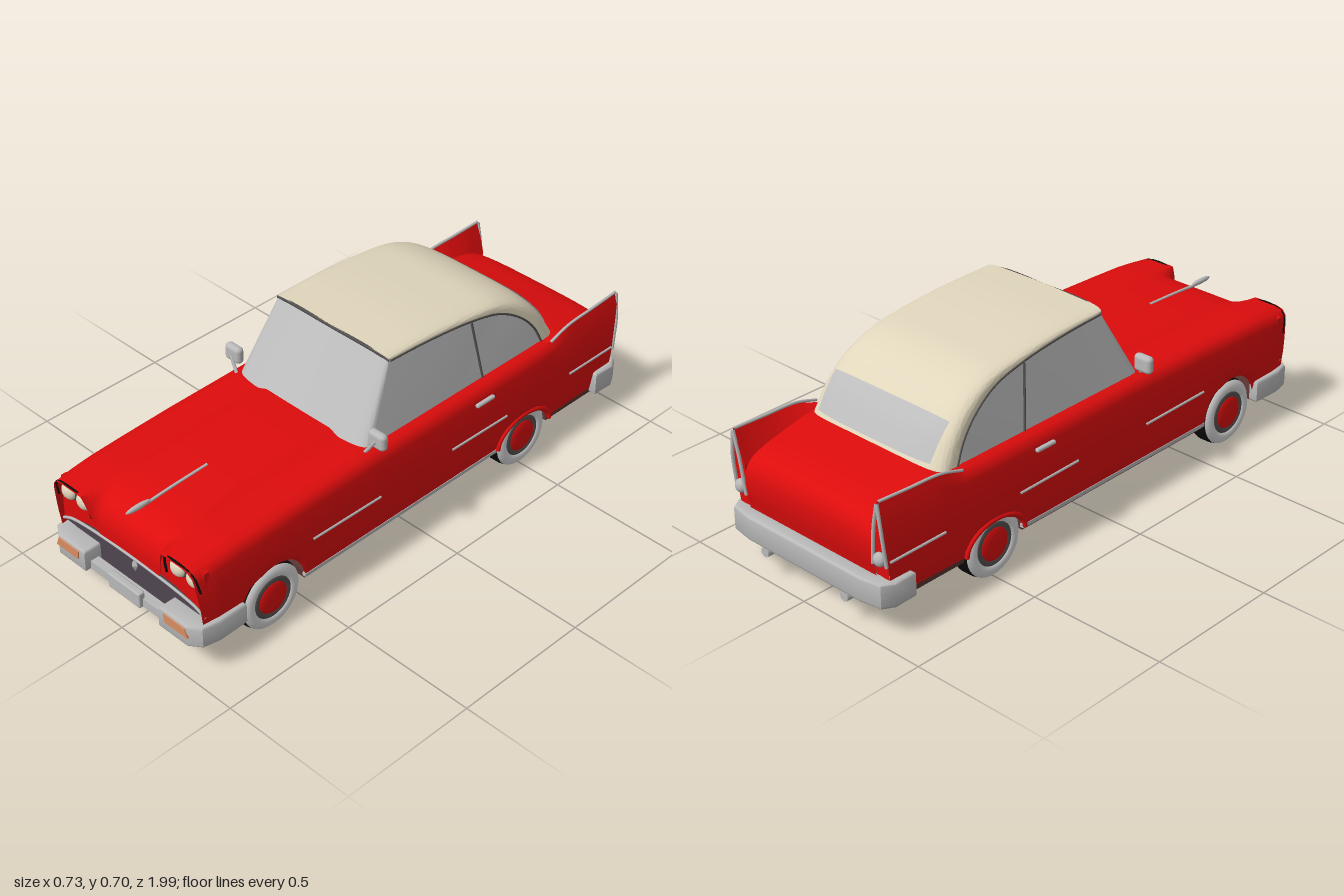
import * as THREE from 'three';
import { toCreasedNormals } from 'three/addons/utils/BufferGeometryUtils.js';
import { ParametricGeometry } from 'three/addons/geometries/ParametricGeometry.js';
import { RoundedBoxGeometry } from 'three/addons/geometries/RoundedBoxGeometry.js';

const mat = (name, color, double) => {
  const m = new THREE.MeshStandardMaterial({ color, side: double ? THREE.DoubleSide : THREE.FrontSide });
  m.name = name;
  return m;
};
const { lerp, smoothstep, clamp } = THREE.MathUtils;
const V = (x, y, z) => new THREE.Vector3(x, y, z);
const curve = (pts) => new THREE.CatmullRomCurve3(pts.map((p) => V(...p)), false, 'centripetal');

// piecewise linear lookup in [z, value] pairs sorted by z
const table = (pts) => (z) => {
  let i = 0;
  while (i < pts.length - 2 && z > pts[i + 1][0]) i++;
  const [a, b] = [pts[i], pts[i + 1]];
  return lerp(a[1], b[1], clamp((z - a[0]) / (b[0] - a[0]), 0, 1));
};
const halfWidth = table([[-0.975, 0.337], [-0.5, 0.345], [0.7, 0.345], [0.9, 0.342], [0.975, 0.335]]);
const topLine = table([[-0.975, 0.475], [-0.72, 0.462], [-0.63, 0.437], [-0.55, 0.435], [0.2, 0.435], [0.5, 0.43], [0.82, 0.418], [0.975, 0.402]]);
const deckLine = table([[-0.975, 0.355], [-0.945, 0.365], [-0.9, 0.388], [-0.8, 0.412], [-0.7, 0.43], [-0.6, 0.435]]);
const deckEdge = (z) => (z < -0.6 ? deckLine(z) : topLine(z));

// the ends of the body lean inwards towards the bottom
const leanZ = (z, y) => {
  const f = 0.72 + 0.28 * clamp((y - 0.13) / 0.27, 0, 1);
  return Math.abs(z) < 0.85 ? z : Math.sign(z) * (0.85 + (Math.abs(z) - 0.85) * f);
};
// lower edge of the flank, with both wheel arches
const lowerEdge = (z) => {
  const f = (z - 0.66) / 0.135, r = (z + 0.5) / 0.125;
  if (Math.abs(f) < 1) return Math.max(0.13, 0.12 + 0.135 * Math.sqrt(1 - f * f));
  if (Math.abs(r) < 1) return Math.max(0.13, 0.12 + 0.082 * Math.sqrt(1 - r * r));
  return 0.13;
};

function sheet(fn, nu, nv, crease = 0.6) {
  const g = new ParametricGeometry((u, v, t) => t.set(...fn(u, v)), nu, nv);
  g.computeVertexNormals();
  return toCreasedNormals(g, crease);
}
function mirrored(geo) {
  const g = geo.clone();
  if (!g.index) g.setIndex([...Array(g.attributes.position.count).keys()]);
  g.scale(-1, 1, 1);
  const a = g.index.array;
  for (let i = 0; i < a.length; i += 3) [a[i], a[i + 1]] = [a[i + 1], a[i]];
  return g;
}
const tube = (pts, r, n = 24) => new THREE.TubeGeometry(curve(pts), n, r, 8);
const box = (x0, x1, y0, y1, z0, z1) => new THREE.BoxGeometry(x1 - x0, y1 - y0, z1 - z0)
  .translate((x0 + x1) / 2, (y0 + y1) / 2, (z0 + z1) / 2);
const shape = (pts) => new THREE.Shape(pts.map((p) => new THREE.Vector2(...p)));
const plate = (pts, z, depth) => new THREE.ExtrudeGeometry(shape(pts), { depth, bevelEnabled: false }).translate(0, 0, z);
// outline in plan [x, z], raised from y0 to y1 with softened edges
const slab = (pts, y0, y1, b = 0.01) => toCreasedNormals(new THREE.ExtrudeGeometry(shape(pts.map(([x, z]) => [x, -z])), {
  depth: y1 - y0 - 2 * b, bevelSize: b, bevelThickness: b, bevelSegments: 3,
}).rotateX(-Math.PI / 2).translate(0, y0 + b, 0), 0.7);
const ball = (rx, ry, rz, x, y, z) => new THREE.SphereGeometry(1, 24, 16).scale(rx, ry, rz).translate(x, y, z);

export function createModel() {
  const car = new THREE.Group();
  car.name = 'car';
  const red = mat('red paint', 0xdd0c0c, true), cream = mat('cream', 0xe0d6bc, true);
  const glass = mat('window glass', 0xbdbdbd, true), chrome = mat('chrome', 0xb8b8b8);
  const rubber = mat('black rubber', 0x0c0c0c), white = mat('whitewall', 0xd8d8d8);
  const dark = mat('grille dark', 0x50444f), amber = mat('amber lens', 0xd98c62);
  const under = mat('underbody brown', 0x5a3431), grey = mat('dark grey', 0x555050);
  const add = (name, geo, m, parent = car) => {
    const mesh = new THREE.Mesh(geo, m);
    mesh.name = name;
    parent.add(mesh);
    return mesh;
  };
  const pair = (name, geo, m) => {
    add(name + 'Left', geo, m);
    add(name + 'Right', mirrored(geo), m);
  };

  // flanks, rising into pointed fins at the back
  pair('flank', sheet((u, v) => {
    const z = lerp(0.975, -0.975, u), w = halfWidth(z), t = topLine(z), yb = lowerEdge(z);
    const k = 1 - smoothstep(z, -0.74, -0.6);
    const y1 = Math.max(0.25, yb + 0.006);
    const p = [[w - 0.012, yb], [w - 0.002, (yb + y1) / 2], [w, y1], [w - 0.002, 0.3], [w - 0.007, t - 0.045],
      [w - lerp(0.012, 0.014, k), t - 0.022], [w - lerp(0.028, 0.018, k), lerp(t - 0.006, t, k)], [w - 0.055, deckEdge(z)]];
    const [x, y] = p[Math.round(v * 7)];
    return [x, y, leanZ(z, y)];
  }, 200, 7, 0.7), red);

  // hood: the middle rolls down to the grille, the fenders run on as headlight hoods
  const hoodMid = curve([[0, 0.445, -0.62], [0, 0.446, 0.2], [0, 0.441, 0.5], [0, 0.433, 0.7], [0, 0.422, 0.82], [0, 0.402, 0.89], [0, 0.37, 0.927], [0, 0.325, 0.945], [0, 0.268, 0.948]]);
  const fenderZ = [-0.62, 0.2, 0.5, 0.7, 0.82, 0.89, 0.94, 0.962, 0.975];
  add('hood', sheet((u, v) => {
    const c = hoodMid.getPoint(u), i = Math.min(7, Math.floor(u * 8));
    const z = lerp(fenderZ[i], fenderZ[i + 1], u * 8 - i);
    const x = (2 * v - 1) * (halfWidth(z) - 0.055);
    const w = smoothstep(Math.abs(x), 0.14, 0.19);
    return [x, lerp(c.y, topLine(z), w), lerp(c.z, z, w)];
  }, 48, 48, 0.8), red);

  // trunk lid rolling into the tail panel
  const trunkPath = curve([[0, 0.435, -0.6], [0, 0.43, -0.7], [0, 0.412, -0.8], [0, 0.388, -0.9], [0, 0.365, -0.945], [0, 0.33, -0.965], [0, 0.27, -0.968], [0, 0.2, -0.955], [0, 0.12, -0.945]]);
  add('trunk', sheet((u, v) => {
    const p = trunkPath.getPoint(u), s = 2 * v - 1;
    return [s * (halfWidth(p.z) - 0.053), p.y + 0.014 * (1 - s ** 4) * smoothstep(p.y, 0.2, 0.4), p.z];
  }, 40, 20), red);

  // front panel above the grille, grille and its trim
  const grilleTop = [[-0.335, 0.215], [-0.29, 0.238], [-0.2, 0.256], [-0.1, 0.265], [0, 0.268], [0.1, 0.265], [0.2, 0.256], [0.29, 0.238], [0.335, 0.215]];
  add('frontPanel', plate([...grilleTop, [0.333, 0.385], [0.3, 0.403], [0.18, 0.403], [0.14, 0.31], [-0.14, 0.31], [-0.18, 0.403], [-0.3, 0.403], [-0.333, 0.385]], 0.915, 0.02), red);
  add('grille', plate([[-0.33, 0.11], [0.33, 0.11], ...[...grilleTop].reverse()], 0.9, 0.025), dark);
  add('grilleTrim', tube(grilleTop.map(([x, y]) => [x, y, 0.95 - 0.1 * x * x]), 0.005, 40), chrome);
  add('grilleEmblem', new THREE.OctahedronGeometry(1).scale(0.013, 0.027, 0.012).translate(0, 0.217, 0.93), chrome);

  // twin headlights under a dark brow
  for (const x of [0.22, 0.293]) {
    pair('headlight', ball(0.031, 0.031, 0.022, x, 0.346, 0.937), cream);
    pair('headlightRim', new THREE.TorusGeometry(0.031, 0.003, 8, 28).translate(x, 0.346, 0.937), grey);
  }
  pair('headlightBrow', tube([[0.176, 0.31, 0.948], [0.182, 0.37, 0.958], [0.205, 0.398, 0.966], [0.3, 0.396, 0.966], [0.325, 0.375, 0.962], [0.332, 0.32, 0.95]], 0.004, 30), rubber);

  // hood ornament
  add('hoodSpear', tube([[0, 0.437, 0.62], [0, 0.431, 0.78], [0, 0.425, 0.87], [0, 0.425, 0.93]], 0.005), chrome);
  add('hoodOrnament', ball(0.009, 0.01, 0.05, 0, 0.43, 0.9), chrome);

  // front bumper
  pair('bumperPod', slab([[0.185, 0.98], [0.3, 0.98], [0.335, 0.955], [0.347, 0.9], [0.344, 0.8], [0.33, 0.8], [0.32, 0.9], [0.29, 0.93], [0.185, 0.93]], 0.112, 0.195), chrome);
  pair('parkingLight', plate([[0.205, 0.152], [0.31, 0.152], [0.298, 0.184], [0.2, 0.184]], 0.986, 0.008), amber);
  add('bumperBar', box(-0.2, 0.2, 0.115, 0.147, 0.935, 0.968), chrome);
  add('numberPlate', new RoundedBoxGeometry(0.15, 0.058, 0.025, 2, 0.006).translate(0, 0.142, 0.97), chrome);

  // rear bumper and exhausts
  const wrap = [[0.344, -0.87], [0.346, -0.94], [0.325, -0.975], [0.25, -0.988]];
  const inner = [[0.25, -0.955], [0.315, -0.94], [0.328, -0.87]];
  const flip = (a) => [...a].reverse().map(([x, z]) => [-x, z]);
  add('rearBumper', slab([...wrap, ...flip(wrap), ...flip(inner), ...inner], 0.11, 0.2), chrome);
  pair('exhaust', new THREE.CylinderGeometry(0.017, 0.017, 0.17, 16).rotateX(Math.PI / 2).translate(0.18, 0.097, -0.91), chrome);

  // fin ends with chrome arrow-shaped lamp frames
  const finEnd = new THREE.ShapeGeometry(shape([[0.28, 0.13], [0.328, 0.13], [0.338, 0.27], [0.329, 0.43], [0.319, 0.475], [0.282, 0.36]]));
  const fp = finEnd.attributes.position;
  for (let i = 0; i < fp.count; i++) fp.setZ(i, leanZ(-0.975, fp.getY(i)));
  pair('finEnd', finEnd, red);
  pair('tailFrameOuter', tube([[0.319, 0.472, -0.976], [0.331, 0.38, -0.974], [0.335, 0.25, -0.96]], 0.006), chrome);
  pair('tailFrameInner', tube([[0.319, 0.472, -0.976], [0.3, 0.38, -0.974], [0.285, 0.25, -0.968]], 0.006), chrome);
  pair('tailLamp', ball(0.022, 0.024, 0.018, 0.311, 0.272, -0.965), chrome);
  pair('finTrim', tube([-0.63, -0.72, -0.85, -0.972].map((z) => [halfWidth(z) - 0.018, topLine(z), z]), 0.005), chrome);

  // roof, sweeping down to the trunk
  const roofMid = curve([[0, 0.703, 0.085], [0, 0.702, -0.1], [0, 0.688, -0.3], [0, 0.668, -0.45], [0, 0.62, -0.56], [0, 0.545, -0.64], [0, 0.43, -0.715]]);
  const roofEdge = curve([[0.252, 0.68, 0.07], [0.256, 0.674, -0.1], [0.262, 0.654, -0.3], [0.267, 0.622, -0.43], [0.277, 0.565, -0.525], [0.286, 0.5, -0.585], [0.294, 0.43, -0.62]]);
  const roofPoint = (u, a, grow = 0) => {
    const m = roofMid.getPoint(u), e = roofEdge.getPoint(u), s = Math.sin(a);
    const w = Math.sqrt(Math.max(0, Math.cos(a))), k = 1 + grow;
    const x = e.x * Math.sign(s) * Math.sqrt(Math.abs(s));
    return [x * k, 0.43 + (lerp(e.y, m.y, w) - 0.43) * k, -0.3 + (lerp(e.z, m.z, w) + 0.3) * k];
  };
  add('roof', sheet((u, v) => roofPoint(u, (v - 0.5) * Math.PI), 40, 40), cream);
  add('rearWindow', sheet((u, v) => {
    const s = (2 * v - 1) * lerp(0.88, 0.84, u);
    return roofPoint(lerp(0.775, 0.965, u), Math.sign(s) * Math.asin(s * s), 0.01);
  }, 12, 24), glass);

  // wrapped windshield and side windows
  add('windshield', sheet((u, v) => {
    const a = (v - 0.5) * Math.PI, s = Math.sin(a), w = Math.sqrt(Math.max(0, Math.cos(a)));
    const x = Math.sign(s) * Math.abs(s) ** 0.6;
    return [x * lerp(0.292, 0.25, u), lerp(0.432, lerp(0.68, 0.698, w), u), lerp(lerp(0.185, 0.238, w), lerp(0.065, 0.08, w), u)];
  }, 6, 32), glass);
  pair('sideWindow', sheet((u, v) => {
    const e = roofEdge.getPoint(u);
    return [lerp(0.293, e.x - 0.002, v), lerp(0.43, e.y, v), lerp(lerp(0.19, -0.62, u), e.z, v)];
  }, 30, 4), glass);
  pair('windowTrim', new THREE.TubeGeometry(roofEdge, 40, 0.004, 6), grey);
  pair('windowDivider', tube([[0.295, 0.435, -0.325], [0.28, 0.54, -0.31], [0.264, 0.65, -0.295]], 0.004), grey);
  add('roofLip', tube([[-0.252, 0.68, 0.07], [-0.2, 0.694, 0.08], [0, 0.697, 0.083], [0.2, 0.694, 0.08], [0.252, 0.68, 0.07]], 0.006, 32), grey);

  // side trim, sills, handles and mirrors
  for (const [z0, z1] of [[0.2, 0.5], [-0.4, -0.13], [-0.95, -0.72]]) {
    pair('sideTrim', tube([[halfWidth(z0) - 0.001, 0.263, z0], [halfWidth(z1) - 0.001, 0.267, z1]], 0.005, 2), chrome);
  }
  pair('sill', box(0.322, 0.336, 0.122, 0.135, -0.375, 0.525), chrome);
  pair('doorHandle', new RoundedBoxGeometry(0.016, 0.014, 0.085, 2, 0.006).translate(0.346, 0.385, -0.285), chrome);
  pair('mirrorStalk', tube([[0.292, 0.425, 0.225], [0.31, 0.45, 0.22], [0.332, 0.485, 0.215]], 0.006), chrome);
  pair('mirrorHead', new RoundedBoxGeometry(0.07, 0.062, 0.032, 4, 0.015).translate(0.33, 0.484, 0.2), chrome);
  pair('rearArchLip', tube([...Array(13).keys()].map((i) => {
    const a = (i / 12) * Math.PI;
    return [0.339, 0.13 + 0.085 * Math.sin(a), -0.5 + 0.13 * Math.cos(a)];
  }), 0.008, 30), red);

  // underbody, narrowed between the wheels
  for (const [z0, z1] of [[-0.94, -0.63], [-0.37, 0.52], [0.8, 0.92]]) add('floor', box(-0.325, 0.325, 0.11, 0.135, z0, z1), under);
  for (const z of [-0.5, 0.66]) {
    add('wheelWell', box(-0.235, 0.235, 0.155, 0.36, z - 0.15, z + 0.15), under);
    add('axle', new THREE.CylinderGeometry(0.02, 0.02, 0.52, 16).rotateZ(Math.PI / 2).translate(0, 0.12, z), under);
  }

  // wheels, turned around the axle
  const ring = (pts) => new THREE.LatheGeometry(pts.map((p) => new THREE.Vector2(...p)), 40).rotateZ(-Math.PI / 2);
  const tyre = toCreasedNormals(ring([[0.001, -0.042], [0.1, -0.042], [0.114, -0.034], [0.12, -0.018], [0.12, 0.018], [0.116, 0.034], [0.106, 0.04], [0.001, 0.04]]), 0.6);
  const wall = ring([[0.116, 0.035], [0.107, 0.043], [0.09, 0.046], [0.076, 0.042], [0.074, 0.036]]);
  const rim = ring([[0.077, 0.041], [0.07, 0.046], [0.058, 0.043], [0.05, 0.04]]);
  const cap = ring([[0.06, 0.041], [0.054, 0.047], [0.03, 0.05], [0, 0.051]]);
  for (const z of [-0.5, 0.66]) {
    for (const [name, g, m] of [['tyre', tyre, rubber], ['whitewall', wall, white], ['rim', rim, grey], ['hubcap', cap, red]]) {
      pair(name, g.clone().translate(0.288, 0.12, z), m);
    }
  }
  for (const m of [white, grey]) m.side = THREE.DoubleSide;
  return car;
}
